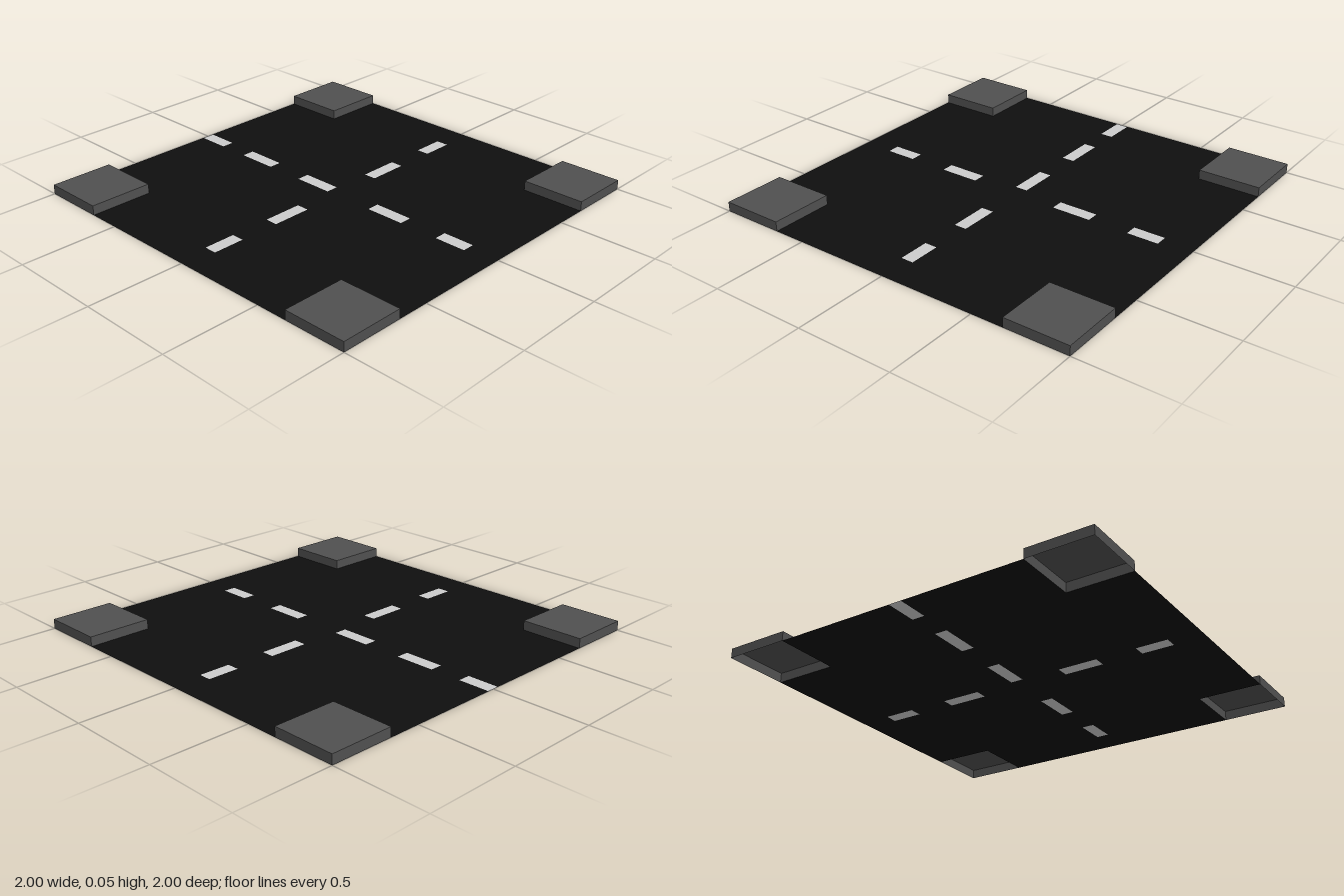
import * as THREE from 'three';

const PAD = 0.333, PAD_HEIGHT = 0.05, HALF_LINE = 0.033;

const material = (color) => new THREE.MeshStandardMaterial({ color, side: THREE.DoubleSide });

// Corner points of a rectangle in plan (x, z), stored as shape coordinates (x, -z)
const rectangle = (x0, x1, z0, z1) =>
  [[x0, z0], [x1, z0], [x1, z1], [x0, z1]].map(([x, z]) => new THREE.Vector2(x, -z));

// Flat surface on the ground, facing up
const flat = (shape) => new THREE.ShapeGeometry(shape).rotateX(-Math.PI / 2);

export function createModel() {
  const model = new THREE.Group();
  const asphalt = material(0x0f0f0f);
  const kerb = material(0x4f4f4f);
  const paint = material(0xcccccc);

  const add = (name, geometry, mat) => {
    const mesh = new THREE.Mesh(geometry, mat);
    mesh.name = name;
    model.add(mesh);
    return mesh;
  };

  // Dashes of the two crossing centre lines
  const alongX = [[-0.833, -0.667], [-0.453, -0.243], [0.243, 0.453], [0.667, 0.833]];
  const alongZ = [[-0.667, -0.455], [-0.245, -0.035], [0.243, 0.453], [0.667, 0.833]];
  const dashes = [
    ...alongX.map(([a, b]) => rectangle(a, b, -HALF_LINE, HALF_LINE)),
    ...alongZ.map(([a, b]) => rectangle(-HALF_LINE, HALF_LINE, a, b)),
  ];
  const edgeDash = rectangle(-HALF_LINE, HALF_LINE, -1, -0.833);

  // Cross-shaped road, notched at the back edge and cut out for the inlaid dashes
  const inner = 1 - PAD;
  const outline = [
    [-inner, -1], [-HALF_LINE, -1], [-HALF_LINE, -0.833], [HALF_LINE, -0.833], [HALF_LINE, -1],
    [inner, -1], [inner, -inner], [1, -inner], [1, inner], [inner, inner],
    [inner, 1], [-inner, 1], [-inner, inner], [-1, inner], [-1, -inner], [-inner, -inner],
  ].map(([x, z]) => new THREE.Vector2(x, -z));
  const road = new THREE.Shape(outline);
  road.holes = dashes.map((points) => new THREE.Path(points));
  add('road', flat(road), asphalt);

  for (const points of [...dashes, edgeDash]) {
    add('laneDash', flat(new THREE.Shape(points)), paint);
  }

  // Raised pavement at each corner, hollow underneath
  const pavement = new THREE.BoxGeometry(PAD, PAD_HEIGHT, PAD);
  const index = Array.from(pavement.index.array);
  index.splice(18, 6); // remove the bottom face
  pavement.setIndex(index);
  pavement.clearGroups();
  for (const sx of [-1, 1]) {
    for (const sz of [-1, 1]) {
      const name = (sz > 0 ? 'front' : 'back') + (sx > 0 ? 'Left' : 'Right') + 'Pavement';
      add(name, pavement, kerb).position.set(sx * (1 - PAD / 2), PAD_HEIGHT / 2, sz * (1 - PAD / 2));
    }
  }

  return model;
}
